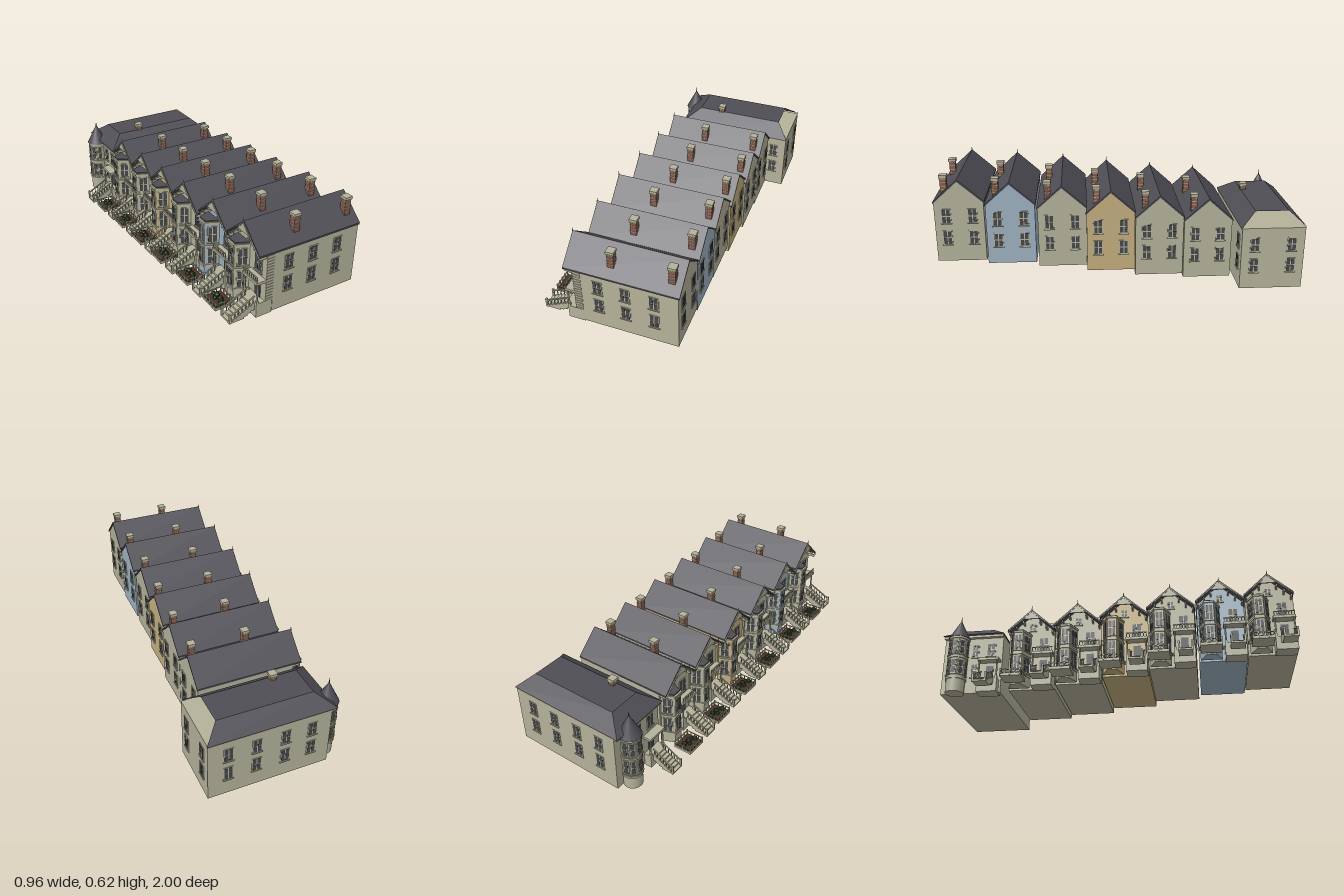
import * as THREE from 'three';

const mat = (name, color, extra = {}) => {
  const m = new THREE.MeshStandardMaterial({ color, ...extra });
  m.name = name;
  return m;
};
const cream = mat('cream', 0xb4b29a), blue = mat('blue', 0x9db1c0), yellow = mat('yellow', 0xc3ae7d);
const slate = mat('slate', 0x4f4e55, { side: THREE.DoubleSide }), brick = mat('brick', 0x8a5b4b);
const glass = mat('glass', 0x45474b), soil = mat('soil', 0x4a3524), leaf = mat('leaf', 0x2c4027);
const TILT = 0.165; // turn of the whole row; local -x is the street side

function add(parent, name, geo, material, x = 0, y = 0, z = 0) {
  const m = new THREE.Mesh(geo, material);
  m.name = name;
  m.position.set(x, y, z);
  parent.add(m);
  return m;
}
// box given by its extents
const box = (parent, name, material, x0, x1, y0, y1, z0, z1) =>
  add(parent, name, new THREE.BoxGeometry(x1 - x0, y1 - y0, z1 - z0), material,
    (x0 + x1) / 2, (y0 + y1) / 2, (z0 + z1) / 2);
const shape = pts => new THREE.Shape(pts.map(p => new THREE.Vector2(...p)));
// symmetric (z, y) section swept along x
function sweep(parent, name, material, pts, x0, x1) {
  const g = new THREE.ExtrudeGeometry(shape(pts), { depth: x1 - x0, bevelEnabled: false });
  return add(parent, name, g.rotateY(Math.PI / 2), material, x0);
}
// (x, z) plan raised upwards
function raise(parent, name, material, plan, y0, y1) {
  const g = new THREE.ExtrudeGeometry(shape(plan.map(([x, z]) => [x, -z])), { depth: y1 - y0, bevelEnabled: false });
  return add(parent, name, g.rotateX(-Math.PI / 2), material, 0, y0);
}

// framed sash window facing local +z before turning
function sash(parent, x, y, z, turn, w = 0.05, h = 0.078, panes = 2) {
  const g = new THREE.Group();
  g.name = 'window';
  g.position.set(x, y, z);
  g.rotation.y = turn;
  box(g, 'windowFrame', cream, -w / 2, w / 2, -h / 2, h / 2, -0.003, 0.003);
  box(g, 'windowSill', cream, -w / 2 - 0.003, w / 2 + 0.003, -h / 2 - 0.004, -h / 2, -0.003, 0.007);
  const pw = (w - 0.005 * (panes + 1)) / panes;
  for (let i = 0; i < panes; i++) for (const s of [-1, 1]) {
    const px = -w / 2 + 0.005 + i * (pw + 0.005);
    const c = s * (h / 4 - 0.001);
    box(g, 'windowPane', glass, px, px + pw, c - h / 4 + 0.004, c + h / 4 - 0.003, 0, 0.0042);
  }
  parent.add(g);
}

function chimney(parent, x, y0, y1, z) {
  const g = new THREE.Group();
  g.name = 'chimney';
  box(g, 'chimneyStack', brick, x - 0.016, x + 0.016, y0, y1 - 0.01, z - 0.016, z + 0.016);
  for (let y = y1 - 0.078; y < y1 - 0.02; y += 0.019)
    box(g, 'chimneyBand', cream, x - 0.0175, x + 0.0175, y, y + 0.003, z - 0.0175, z + 0.0175);
  box(g, 'chimneyCap', cream, x - 0.02, x + 0.02, y1 - 0.014, y1, z - 0.02, z + 0.02);
  parent.add(g);
}

// solid flight rising from x0 to x1, with posts and sloping rails
function stairs(parent, x0, x1, z, half, rise) {
  const g = new THREE.Group(), n = 7, run = (x1 - x0) / n;
  g.name = 'stairs';
  for (let i = 0; i < n; i++)
    box(g, 'step', cream, x0 + i * run, x0 + (i + 1) * run, Math.max(0, (i - 3) * rise / n), (i + 1) * rise / n, z - half, z + half);
  for (const s of [-1, 1]) {
    const zz = z + s * (half - 0.003);
    for (let i = 0; i < n; i++)
      box(g, 'baluster', cream, x0 + (i + 0.4) * run, x0 + (i + 0.6) * run, (i + 1) * rise / n, (i + 1) * rise / n + 0.032, zz - 0.002, zz + 0.002);
    const rail = add(g, 'handRail', new THREE.BoxGeometry(Math.hypot(x1 - x0, rise), 0.006, 0.006), cream,
      (x0 + x1) / 2, rise / 2 + 0.038, zz);
    rail.rotation.z = Math.atan2(rise, x1 - x0);
    box(g, 'newelPost', cream, x0, x0 + 0.009, 0, 0.052, zz - 0.005, zz + 0.005);
  }
  parent.add(g);
}

// railed front garden with shrubs
function garden(parent) {
  const g = new THREE.Group();
  g.name = 'garden';
  g.position.set(-0.372, 0, -0.06);
  box(g, 'gardenKerb', cream, -0.05, 0.05, -0.005, 0.008, -0.055, 0.055);
  box(g, 'gardenSoil', soil, -0.046, 0.046, 0.006, 0.012, -0.051, 0.051);
  for (let i = 0; i < 6; i++)
    add(g, 'shrub', new THREE.IcosahedronGeometry(0.012 + 0.003 * (i % 2), 0), leaf, 0.012 * Math.sin(i * 2.3), 0.018, -0.04 + i * 0.016);
  for (const s of [-1, 1]) {
    box(g, 'gardenRail', cream, -0.05, 0.05, 0.027, 0.031, s * 0.053 - 0.002, s * 0.053 + 0.002);
    box(g, 'gardenRail', cream, s * 0.048 - 0.002, s * 0.048 + 0.002, 0.027, 0.031, -0.053, 0.053);
    for (const t of [-1, -0.5, 0, 0.5, 1]) {
      box(g, 'gardenPost', cream, s * 0.048 - 0.003, s * 0.048 + 0.003, 0, 0.037, t * 0.052 - 0.003, t * 0.052 + 0.003);
      box(g, 'gardenPost', cream, t * 0.047 - 0.002, t * 0.047 + 0.002, 0, 0.034, s * 0.053 - 0.002, s * 0.053 + 0.002);
    }
  }
  parent.add(g);
}

// covered entrance; wall plane at x1, floor at height f
function porch(parent, x0, x1, z0, z1, f, top) {
  box(parent, 'porchBase', cream, x0, x1 + 0.04, -0.008, f, z0, z1);
  box(parent, 'frontDoor', glass, x1 - 0.004, x1 + 0.004, f, f + 0.085, (z0 + z1) / 2 - 0.02, (z0 + z1) / 2 + 0.02);
  box(parent, 'porchRoof', cream, x0 - 0.004, x1, top - 0.014, top, z0 - 0.003, z1 + 0.003);
  for (const z of [z0 + 0.006, z1 - 0.006]) {
    add(parent, 'porchColumn', new THREE.CylinderGeometry(0.004, 0.005, top - f, 10), cream, x0 + 0.006, (top + f) / 2, z);
    box(parent, 'columnBase', cream, x0, x0 + 0.012, f, f + 0.014, z - 0.006, z + 0.006);
  }
}

// gabled row house
function house(cx, base, cz, wall, endOfRow) {
  const g = new THREE.Group();
  g.name = 'rowHouse';
  g.position.set(cx, base, cz);
  g.rotation.y = TILT;
  const E = 0.32, R = 0.434, W = 0.126;
  sweep(g, 'walls', wall, [[-W, 0], [W, 0], [W, E], [0, R], [-W, E]], -0.2, 0.281);
  sweep(g, 'frontWall', wall, [[-W, 0.067], [W, 0.067], [W, E], [0, R], [-W, E]], -0.24, -0.199);
  const chevron = (o, t) => [[-W - o, E - 0.004], [-W - o, E - 0.004 + t], [0, R + t], [W + o, E - 0.004 + t], [W + o, E - 0.004], [0, R - 0.002]].reverse();
  sweep(g, 'roof', slate, chevron(0.004, 0.009), -0.285, 0.287);
  sweep(g, 'bargeBoard', cream, chevron(0, 0.002).map(([z, y]) => [z, y - 0.004]), -0.289, -0.28);
  // gable ornament
  sweep(g, 'gableFan', cream, [[-0.045, 0.385], [0.045, 0.385], [0, R - 0.004]], -0.287, -0.28);
  add(g, 'finial', new THREE.ConeGeometry(0.004, 0.03, 8), cream, -0.286, R + 0.015, 0);
  for (const s of [-1, 1]) for (let i = 0; i < 3; i++)
    box(g, 'eaveBracket', cream, -0.283, -0.24, E - 0.022 + i * 0.033, E - 0.008 + i * 0.033, s * (0.118 - i * 0.036) - 0.004, s * (0.118 - i * 0.036) + 0.004);
  // two-storey bay
  const plan = [[-0.235, -0.117], [-0.306, -0.085], [-0.306, -0.035], [-0.235, -0.003]];
  const grow = k => plan.map(([x, z]) => [-0.235 + (x + 0.235) * k, -0.06 + (z + 0.06) * k]);
  raise(g, 'bayWindow', wall, plan, -0.005, 0.3);
  for (const y of [0.05, 0.165, 0.295]) raise(g, 'bayCornice', cream, grow(1.08), y, y + 0.011);
  raise(g, 'bayRoof', slate, grow(0.95), 0.306, 0.313);
  for (const y of [0.113, 0.237]) {
    sash(g, -0.306, y, -0.06, -Math.PI / 2, 0.044, 0.092);
    for (const s of [-1, 1])
      sash(g, -0.2705, y, -0.06 + s * 0.041, s > 0 ? Math.atan2(-0.032, 0.071) : Math.atan2(-0.032, -0.071), 0.052, 0.092);
  }
  sash(g, -0.24, 0.352, 0, -Math.PI / 2, 0.04, 0.045);
  // entrance side
  porch(g, -0.286, -0.24, 0.012, 0.124, 0.067, 0.185);
  sash(g, -0.24, 0.243, 0.066, -Math.PI / 2, 0.055, 0.085);
  box(g, 'balconyRail', cream, -0.288, -0.283, 0.207, 0.212, 0.012, 0.124);
  for (let i = 0; i < 8; i++)
    box(g, 'balconyBaluster', cream, -0.287, -0.284, 0.183, 0.209, 0.014 + i * 0.015, 0.018 + i * 0.015);
  if (endOfRow) for (let i = 0; i < 16; i++)
    box(g, 'sidingBoard', cream, -0.24, -0.2, 0.07 + i * 0.0155, 0.08 + i * 0.0155, 0.125, 0.128);
  stairs(g, -0.42, -0.284, 0.075, 0.036, 0.067);
  garden(g);
  // back and end-wall windows
  for (const y of [0.13, 0.247]) {
    for (const z of [-0.067, 0.067]) sash(g, 0.281, y, z, Math.PI / 2);
    if (endOfRow) for (const x of [-0.117, 0.02, 0.162]) sash(g, x, y, W, 0);
  }
  for (const x of [-0.058, 0.237]) chimney(g, x, 0.34, 0.457, 0.074);
  return g;
}

// wide corner house with a round turret
function cornerHouse() {
  const g = new THREE.Group();
  g.name = 'cornerHouse';
  g.position.set(-0.035, 0.008, -0.78);
  g.rotation.y = TILT;
  const E = 0.337;
  box(g, 'walls', cream, -0.31, 0.328, 0, E, -0.165, 0.165);
  // truncated hip roof, open at the back
  const e = [[-0.338, E, 0.172], [0.334, E, 0.172], [0.334, E, -0.172], [-0.338, E, -0.172]];
  const t = [[-0.245, 0.405, 0.085], [0.258, 0.405, 0.085], [0.258, 0.405, -0.09], [-0.245, 0.405, -0.09]];
  const quads = [[e[0], e[1], t[1], t[0]], [t[0], t[1], t[2], t[3]], [e[2], e[3], t[3], t[2]], [e[3], e[0], t[0], t[3]]];
  const hip = new THREE.BufferGeometry();
  hip.setAttribute('position', new THREE.Float32BufferAttribute(quads.flatMap(([a, b, c, d]) => [a, b, c, a, c, d].flat()), 3));
  hip.computeVertexNormals();
  add(g, 'hipRoof', hip, slate);
  box(g, 'eaveCornice', cream, -0.33, -0.31, E - 0.016, E - 0.002, -0.167, 0.167);
  chimney(g, -0.109, 0.33, 0.442, 0.073);
  // turret
  const tower = new THREE.Group();
  tower.name = 'turret';
  tower.position.set(-0.335, 0, -0.077);
  add(tower, 'turretWall', new THREE.CylinderGeometry(0.05, 0.05, 0.32, 24), cream, 0, 0.152);
  for (const y of [0.07, 0.19, 0.305])
    add(tower, 'turretBand', new THREE.CylinderGeometry(0.055, 0.055, 0.012, 24), cream, 0, y);
  add(tower, 'turretRoof', new THREE.ConeGeometry(0.059, 0.115, 24), slate, 0, 0.368);
  add(tower, 'turretSpire', new THREE.ConeGeometry(0.004, 0.035, 8), slate, 0, 0.432);
  for (const y of [0.132, 0.248]) for (let i = -2; i <= 2; i++) {
    const a = -Math.PI / 2 + i * 0.72;
    sash(tower, Math.sin(a) * 0.0495, y, Math.cos(a) * 0.0495, a, 0.03, 0.085, 1);
  }
  g.add(tower);
  // entrance, steps and street windows
  porch(g, -0.352, -0.31, 0.045, 0.155, 0.067, 0.185);
  stairs(g, -0.475, -0.35, 0.1, 0.036, 0.067);
  sash(g, -0.31, 0.25, 0.1, -Math.PI / 2);
  for (const y of [0.13, 0.247]) {
    sash(g, -0.31, y, 0.012, -Math.PI / 2, 0.04);
    for (const z of [-0.098, 0.095]) sash(g, 0.328, y, z, Math.PI / 2);
    for (const x of [-0.21, -0.07, 0.08, 0.225]) sash(g, x, y, -0.165, Math.PI);
    sash(g, 0.255, y, 0.165, 0);
  }
  return g;
}

export function createModel() {
  const row = new THREE.Group();
  row.name = 'terraceRow';
  [
    [0.165, 0.158, 0.8175, cream], [0.122, 0.138, 0.5625, blue], [0.073, 0.112, 0.303, cream],
    [0.04, 0.083, 0.0525, yellow], [0.006, 0.055, -0.2, cream], [-0.036, 0.034, -0.4525, cream],
  ].forEach(([x, y, z, wall], i) => row.add(house(x, y, z, wall, i === 0)));
  row.add(cornerHouse());
  return row;
}
